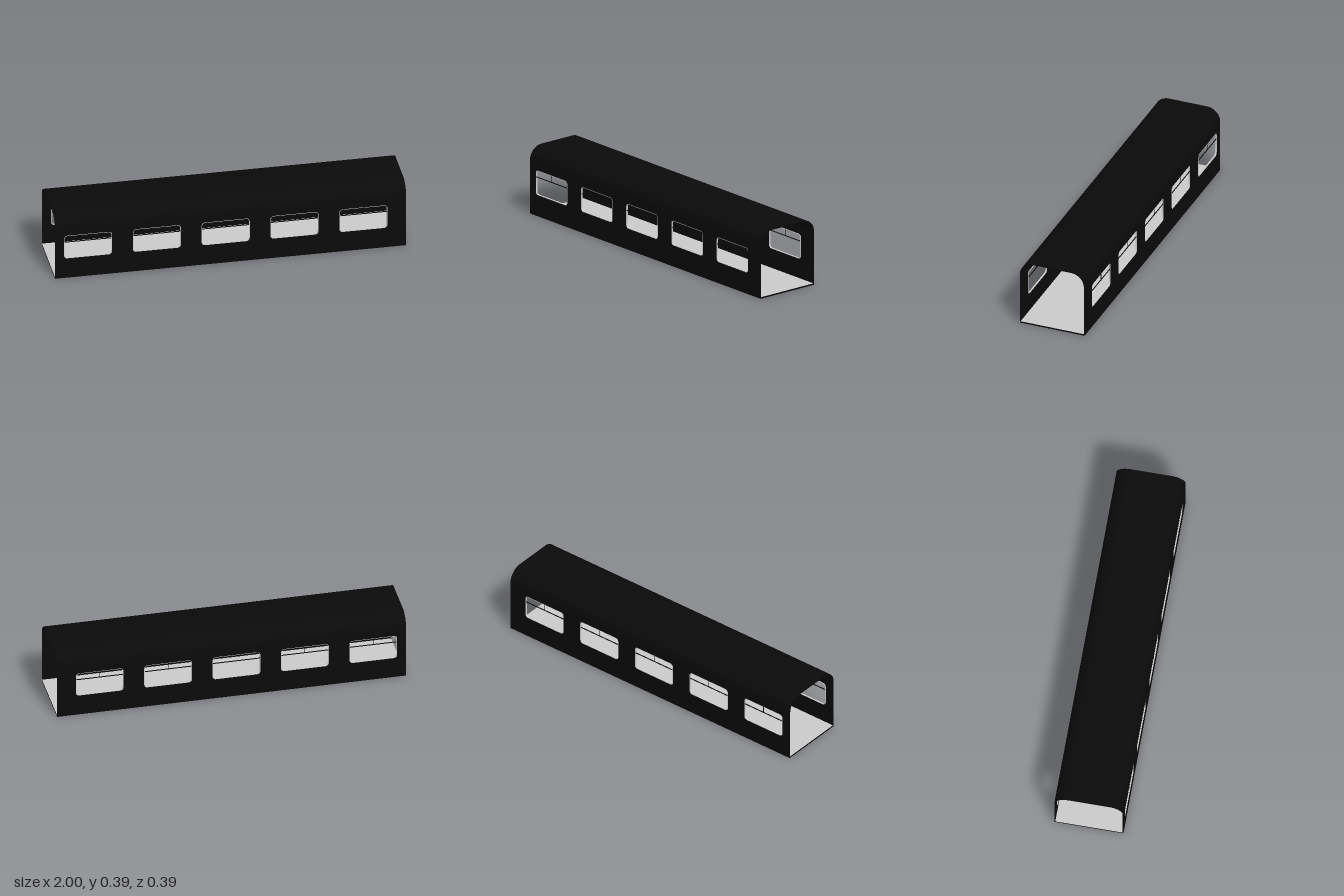
import * as THREE from 'three';
import { toCreasedNormals } from 'three/addons/utils/BufferGeometryUtils.js';

const LENGTH = 2, HALF = 0.196, TOP = 0.393, SPRING = 0.311, WALL = 0.005, FLOOR = 0.009;
const WIN_X = [-0.812, -0.42, -0.028, 0.364, 0.756];
const WIN_W = 0.274, WIN_H = 0.146, WIN_Y = 0.197, WIN_R = 0.02;

const black = new THREE.MeshStandardMaterial({ color: 0x0a0a0a });
const grey = new THREE.MeshStandardMaterial({ color: 0xcccccc });

// Rounded rectangle outline, used for window openings and rims
function roundedRect(target, cx, cy, w, h, r) {
  const x = w / 2, y = h / 2;
  target.absarc(cx + x - r, cy + y - r, r, 0, Math.PI / 2);
  target.absarc(cx - x + r, cy + y - r, r, Math.PI / 2, Math.PI);
  target.absarc(cx - x + r, cy - y + r, r, Math.PI, Math.PI * 1.5);
  target.absarc(cx + x - r, cy - y + r, r, Math.PI * 1.5, Math.PI * 2);
  target.closePath();
  return target;
}

function extrude(shape, depth, curveSegments = 6) {
  const geometry = new THREE.ExtrudeGeometry(shape, { depth, bevelEnabled: false, curveSegments });
  return toCreasedNormals(geometry, 0.6);
}

function part(name, geometry, material, x = 0, y = 0, z = 0) {
  const mesh = new THREE.Mesh(geometry, material);
  mesh.name = name;
  mesh.position.set(x, y, z);
  return mesh;
}

// Roof section: two rounded shoulders joined by a flat crown
function roofGeometry() {
  const r = TOP - SPRING, c = HALF - r;
  const shape = new THREE.Shape();
  shape.moveTo(HALF, SPRING);
  shape.absarc(c, SPRING, r, 0, Math.PI / 2);
  shape.absarc(-c, SPRING, r, Math.PI / 2, Math.PI);
  shape.absarc(-c, SPRING, r - WALL, Math.PI, Math.PI / 2, true);
  shape.absarc(c, SPRING, r - WALL, Math.PI / 2, 0, true);
  shape.closePath();
  const geometry = extrude(shape, LENGTH, 14);
  geometry.translate(0, 0, -LENGTH / 2);
  geometry.rotateY(Math.PI / 2);
  return geometry;
}

// Side wall with five window openings
function wallGeometry() {
  const shape = new THREE.Shape();
  shape.moveTo(-LENGTH / 2, FLOOR);
  shape.lineTo(LENGTH / 2, FLOOR);
  shape.lineTo(LENGTH / 2, SPRING);
  shape.lineTo(-LENGTH / 2, SPRING);
  shape.closePath();
  for (const x of WIN_X) {
    shape.holes.push(roundedRect(new THREE.Path(), x, WIN_Y, WIN_W, WIN_H, WIN_R));
  }
  return extrude(shape, WALL);
}

// Thin rim lining a window opening
function rimGeometry() {
  const t = 0.003;
  const shape = roundedRect(new THREE.Shape(), 0, 0, WIN_W, WIN_H, WIN_R);
  shape.holes.push(roundedRect(new THREE.Path(), 0, 0, WIN_W - 2 * t, WIN_H - 2 * t, WIN_R - t));
  return extrude(shape, 0.009);
}

export function createModel() {
  const model = new THREE.Group();
  model.name = 'carriageShell';

  // Floor plate: grey faces above and below, black edges
  const floorMaterials = [black, black, grey, grey, black, black];
  model.add(part('floor', new THREE.BoxGeometry(LENGTH, FLOOR, HALF * 2), floorMaterials, 0, FLOOR / 2, 0));
  model.add(part('roof', roofGeometry(), black));

  const wall = wallGeometry(), rim = rimGeometry();
  const sashBar = new THREE.BoxGeometry(WIN_W - 0.004, 0.004, 0.004);
  const divider = new THREE.BoxGeometry(0.002, 0.04, 0.003);

  for (const front of [true, false]) {
    const side = new THREE.Group();
    side.name = front ? 'frontSide' : 'backSide';
    side.add(part('sideWall', wall, black, 0, 0, HALF - WALL));
    for (const x of WIN_X) {
      const frame = new THREE.Group();
      frame.name = 'windowFrame';
      frame.position.set(x, WIN_Y, HALF - 0.009);
      frame.add(part('windowRim', rim, grey));
      // Opening upper sash: cross bar with a short central divider
      frame.add(part('sashBar', sashBar, black, 0, 0.031, 0.006));
      frame.add(part('sashDivider', divider, black, 0, 0.051, 0.008));
      side.add(frame);
    }
    // The back side is the front turned about, with windows kept opposite
    if (!front) {
      side.rotation.y = Math.PI;
      side.children[0].geometry = wall.clone().translate(0, 0, -WALL / 2)
        .rotateY(Math.PI).translate(0, 0, WALL / 2);
      side.children.slice(1).forEach((frame) => { frame.position.x *= -1; });
    }
    model.add(side);
  }
  return model;
}
